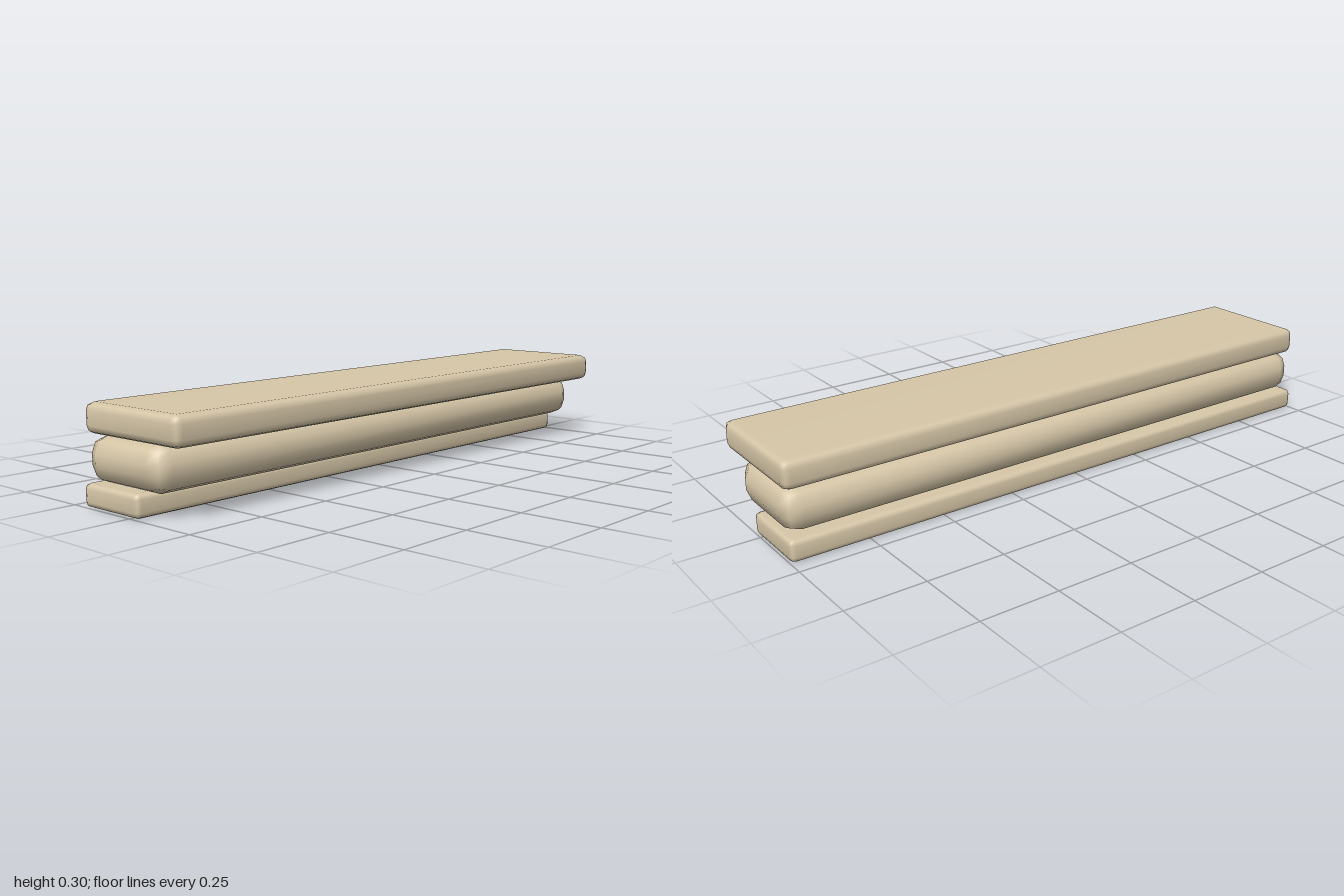
import * as THREE from 'three';
import { RoundedBoxGeometry } from 'three/addons/geometries/RoundedBoxGeometry.js';
import { mergeVertices } from 'three/addons/utils/BufferGeometryUtils.js';

const stone = new THREE.MeshStandardMaterial({ color: 0xd8c8a9 });
stone.name = 'sandstone';

// Slab with a two-step rounded edge, shaded smoothly all over
function slab(name, y0, y1, zBack, zFront, radius) {
  const box = new RoundedBoxGeometry(2, y1 - y0, zFront - zBack, 1, radius);
  box.deleteAttribute('normal');
  box.deleteAttribute('uv');
  box.clearGroups();
  const geometry = mergeVertices(box, 1e-4);
  geometry.computeVertexNormals();
  const mesh = new THREE.Mesh(geometry, stone);
  mesh.name = name;
  mesh.position.set(0, (y0 + y1) / 2, (zBack + zFront) / 2);
  return mesh;
}

export function createModel() {
  const group = new THREE.Group();
  group.name = 'steppedCornice';
  group.add(
    slab('bottomSlab', 0, 0.07, -0.205, 0.035, 0.017),
    slab('middleRoundedCourse', 0.07, 0.21, -0.195, 0.125, 0.053),
    slab('topSlab', 0.21, 0.3, -0.195, 0.205, 0.024),
  );
  return group;
}
